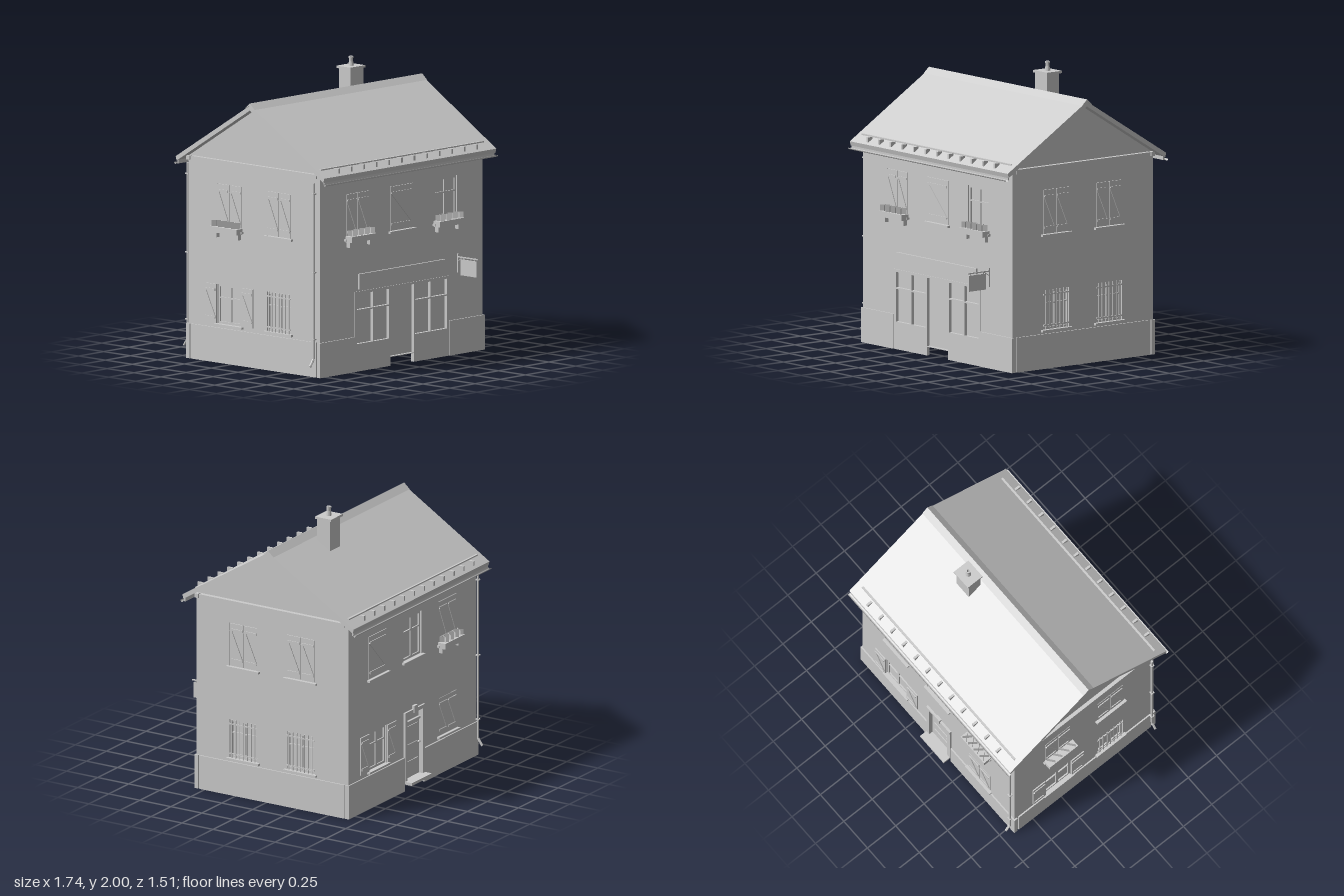
import * as THREE from 'three';

const mat = new THREE.MeshStandardMaterial({ color: 0xcccccc, side: THREE.DoubleSide, flatShading: true });

function add(parent, name, geo) {
  const m = new THREE.Mesh(geo, mat);
  m.name = name;
  parent.add(m);
  return m;
}
// Box given by its extents on each axis
function box(parent, name, x0, x1, y0, y1, z0, z1) {
  const m = add(parent, name, new THREE.BoxGeometry(x1 - x0, y1 - y0, z1 - z0));
  m.position.set((x0 + x1) / 2, (y0 + y1) / 2, (z0 + z1) / 2);
  return m;
}
const polygon = pts => new THREE.Shape(pts.map(p => new THREE.Vector2(...p)));
const rect = (x0, x1, y0, y1) => [[x0, y0], [x0, y1], [x1, y1], [x1, y0]];
const extrude = (shape, depth) => new THREE.ExtrudeGeometry(shape, { depth, bevelEnabled: false });
function group(parent, name) {
  const g = new THREE.Group();
  g.name = name;
  parent.add(g);
  return g;
}
// Thin straight bar between two points
function rod(parent, name, a, b, r) {
  const p = new THREE.Vector3(...a), d = new THREE.Vector3(...b).sub(p);
  const m = add(parent, name, new THREE.CylinderGeometry(r, r, d.length(), 6));
  m.position.copy(p).addScaledVector(d, 0.5);
  m.quaternion.setFromUnitVectors(new THREE.Vector3(0, 1, 0), d.normalize());
}

// Plank shutter with two battens and a diagonal brace
function shutter(parent, x0, x1, y0, y1, z) {
  const g = group(parent, 'shutter'), h = y1 - y0, t = 0.006;
  const a = y0 + h * 0.15, b = y1 - h * 0.15;
  box(g, 'shutterLeaf', x0 + 0.002, x1 - 0.002, y0 + 0.002, y1 - 0.002, z - 0.008, z);
  for (const y of [a, b]) box(g, 'batten', x0 + 0.01, x1 - 0.01, y - 0.008, y + 0.008, z, z + t);
  const dx = x1 - x0 - 0.02, dy = b - a;
  const brace = add(g, 'brace', new THREE.BoxGeometry(Math.hypot(dx, dy), 0.014, t));
  brace.position.set((x0 + x1) / 2, (a + b) / 2, z + t / 2);
  brace.rotation.z = -Math.atan2(dy, dx);
}

// Framed casement with centre mullion and glazing bars
function casement(parent, x0, x1, y0, y1) {
  const c = (x0 + x1) / 2, f = 0.016, y = y0 + (y1 - y0) * 0.66;
  const frame = polygon(rect(x0, x1, y0, y1));
  for (const [a, b] of [[x0 + f, c - f / 2], [c + f / 2, x1 - f]])
    for (const [p, q] of [[y0 + f, y - 0.005], [y + 0.005, y1 - f]])
      frame.holes.push(new THREE.Path(rect(a, b, p, q).map(v => new THREE.Vector2(...v))));
  add(parent, 'windowFrame', extrude(frame, 0.012)).position.z = -0.022;
  box(parent, 'windowPane', x0, x1, y0, y1, -0.026, -0.02);
}

// Hanging flower box with crossed foliage cards and brackets
function flowerBox(parent, c, y) {
  const g = group(parent, 'flowerBox');
  box(g, 'planter', c - 0.125, c + 0.125, y - 0.02, y + 0.02, 0.005, 0.065);
  for (const s of [-1, 1]) box(g, 'bracket', c + s * 0.1 - 0.006, c + s * 0.1 + 0.006, y - 0.06, y - 0.02, 0, 0.03);
  for (let i = 0; i < 4; i++)
    for (const s of [-1, 1]) {
      const card = add(g, 'foliage', new THREE.PlaneGeometry(0.065, 0.062));
      card.position.set(c - 0.09 + i * 0.06, y + 0.03, 0.035);
      card.rotation.y = s * 0.9;
    }
}

// kind: S single shutter, D double shutters, O open shutters, G glass, B barred
function windowUnit(parent, { c, y0, y1, kind, flowers }) {
  const g = group(parent, 'window'), w = 0.113, x0 = c - w, x1 = c + w;
  casement(g, x0, x1, y0, y1);
  if (kind === 'S') shutter(g, x0, x1, y0, y1, 0.002);
  if (kind === 'D') { shutter(g, x0, c, y0, y1, 0.002); shutter(g, c, x1, y0, y1, 0.002); }
  if (kind === 'O') { shutter(g, x0 - w, x0, y0, y1, 0.01); shutter(g, x1, x1 + w, y0, y1, 0.01); }
  if (kind === 'B') {
    for (let i = 0; i < 7; i++) {
      const x = x0 + 0.02 + i * (2 * w - 0.04) / 6;
      rod(g, 'bar', [x, y0, 0.003], [x, y1, 0.003], 0.004);
    }
    for (const y of [y0 + 0.03, y1 - 0.03]) box(g, 'crossBar', x0, x1, y - 0.005, y + 0.005, 0, 0.006);
  }
  box(g, 'sill', x0 - 0.018, x1 + 0.018, y0 - 0.015, y0, -0.02, 0.022);
  if (flowers) flowerBox(g, c, 0.925);
}

// One facade: wall with window holes and an optional doorway notch, plus plinth
function facade(parent, name, u0, u1, windows, notch, grow) {
  const g = group(parent, name);
  const base = notch ? [[u0, 0], [notch[0], 0], [notch[0], notch[2]], [notch[1], notch[2]], [notch[1], 0], [u1, 0]] : [[u0, 0], [u1, 0]];
  const shape = polygon([...base, [u1, 1.39], [u0, 1.39]]);
  for (const { c, y0, y1 } of windows)
    shape.holes.push(new THREE.Path(rect(c - 0.113, c + 0.113, y0, y1).map(v => new THREE.Vector2(...v))));
  add(g, 'wall', extrude(shape, 0.03)).position.z = -0.03;
  const spans = notch ? [[u0 - grow, notch[0]], [notch[1], u1 + grow]] : [[u0 - grow, u1 + grow]];
  for (const [a, b] of spans) box(g, 'plinth', a, b, 0, 0.24, -0.02, 0.01);
  box(g, 'cornice', u0 - grow, u1 + grow, 1.365, 1.395, -0.02, 0.01);
  for (const w of windows) windowUnit(g, w);
  return g;
}

function shopFront(g) {
  const shop = group(g, 'shopFront');
  const frame = polygon(rect(-0.46, 0.48, 0.06, 0.55));
  const holes = [[-0.1, 0.13, 0.065, 0.535]];
  for (const [a, b] of [[-0.435, -0.277], [-0.268, -0.115], [0.14, 0.298], [0.307, 0.46]])
    holes.push([a, b, 0.19, 0.415], [a, b, 0.425, 0.532]);
  for (const h of holes) frame.holes.push(new THREE.Path(rect(...h).map(v => new THREE.Vector2(...v))));
  add(shop, 'shopFrame', extrude(frame, 0.025)).position.z = -0.02;
  box(shop, 'shopGlazing', -0.46, 0.48, 0.06, 0.55, -0.028, -0.018);
  for (const [a, b] of [[-0.46, -0.1], [0.13, 0.48]]) box(shop, 'shopPlinth', a, b, 0, 0.06, -0.02, 0.005);
  box(shop, 'fasciaBoard', -0.42, 0.445, 0.565, 0.67, 0, 0.015);
  // Hanging sign on a wall bracket
  const sign = group(g, 'hangingSign');
  box(sign, 'signPanel', 0.568, 0.574, 0.545, 0.655, 0.03, 0.18);
  box(sign, 'signArm', 0.567, 0.575, 0.665, 0.673, 0, 0.19);
  box(sign, 'signMount', 0.565, 0.577, 0.56, 0.69, 0, 0.007);
  rod(sign, 'signBrace', [0.571, 0.64, 0.005], [0.571, 0.668, 0.05], 0.003);
  for (const z of [0.05, 0.16]) box(sign, 'signHanger', 0.569, 0.573, 0.65, 0.67, z, z + 0.005);
}

function backDoor(g) {
  const d = group(g, 'backDoor');
  box(d, 'doorLeaf', -0.1, 0.1, 0.06, 0.47, -0.028, -0.016);
  box(d, 'transomPane', -0.1, 0.1, 0.47, 0.54, -0.028, -0.02);
  for (const y of [0.1, 0.22, 0.35]) box(d, 'doorPanel', -0.07, 0.07, y, y + 0.09, -0.016, -0.01);
  for (const s of [-1, 1]) box(d, 'doorJamb', s * 0.11 - 0.015, s * 0.11 + 0.015, 0.06, 0.55, -0.03, 0.014);
  box(d, 'doorHead', -0.125, 0.125, 0.535, 0.56, -0.03, 0.016);
  box(d, 'keystone', -0.022, 0.022, 0.535, 0.585, 0, 0.022);
  box(d, 'transomRail', -0.1, 0.1, 0.462, 0.478, -0.025, -0.004);
  rod(d, 'doorHandle', [0.075, 0.3, -0.016], [0.075, 0.3, 0.004], 0.008);
  box(d, 'doorStep', -0.125, 0.125, 0.05, 0.07, -0.03, 0.068);
}

// Downpipe with a kicked-out shoe and wall clips
function downpipe(parent, x, z, kx, kz) {
  const g = group(parent, 'downpipe');
  const pts = [[x, 1.34, z], [x, 0.13, z], [x + kx, 0.08, z + kz]];
  rod(g, 'pipe', pts[0], pts[1], 0.009);
  rod(g, 'pipeShoe', pts[1], pts[2], 0.009);
  for (const y of [1.26, 0.72, 0.26]) box(g, 'pipeClip', x - 0.013, x + 0.013, y, y + 0.008, z - 0.013, z + 0.013);
}

function roof(parent) {
  const g = group(parent, 'roof');
  // Profiles are drawn in (-z, y) and swept along x
  const sweep = (name, pts, x, len) =>
    add(g, name, extrude(polygon(pts), len).rotateY(Math.PI / 2)).position.x = x;
  sweep('roofSlopes', [[-0.65, 1.385], [0.04, 1.81], [0.73, 1.385], [0.722, 1.355], [0.04, 1.776], [-0.642, 1.355]], -0.84, 1.71);
  sweep('ridgeCap', [[-0.005, 1.785], [0.04, 1.825], [0.085, 1.785], [0.04, 1.81]], -0.842, 1.714);
  for (const x of [-0.78, 0.77])
    sweep('gable', [[-0.57, 1.36], [0.655, 1.36], [0.655, 1.402], [0.04, 1.782], [-0.57, 1.402]], x, 0.03);
  // Gutters and snow guards on both slopes
  for (const s of [-1, 1]) {
    const at = d => -0.04 + s * d;
    const slab = (name, x0, x1, y0, y1, d0, d1) =>
      box(g, name, x0, x1, y0, y1, Math.min(at(d0), at(d1)), Math.max(at(d0), at(d1)));
    const gutter = add(g, 'gutter', new THREE.CylinderGeometry(0.012, 0.012, 1.71, 10, 1, true, 0, Math.PI));
    gutter.rotation.set(0, 0, -Math.PI / 2);
    gutter.geometry.rotateY(Math.PI / 2 - Math.PI / 2);
    gutter.geometry.rotateY(Math.PI / 2 - Math.PI / 2 - Math.PI / 2 + Math.PI);
    gutter.geometry.rotateY(-Math.PI / 2);
    gutter.position.set(0.015, 1.343, at(0.695));
    slab('eavesBoard', -0.83, 0.86, 1.335, 1.375, 0.672, 0.682);
    slab('snowRail', -0.8, 0.82, 1.418, 1.436, 0.598, 0.622);
    for (const x of [-0.815, 0.835]) slab('snowRailEnd', x - 0.015, x + 0.015, 1.425, 1.437, 0.594, 0.604);
    for (let i = 0; i < 12; i++) {
      const x = -0.672 + i * 0.1248;
      slab('snowHook', x - 0.008, x + 0.008, 1.398, 1.432, 0.633, 0.672);
    }
  }
}

function chimney(parent) {
  const g = group(parent, 'chimney');
  box(g, 'chimneyStack', 0.227, 0.357, 1.66, 1.925, -0.21, -0.105);
  box(g, 'chimneyCap', 0.218, 0.368, 1.92, 1.936, -0.226, -0.096);
  const pot = [[0.02, 1.936], [0.014, 1.97], [0.014, 1.988], [0.017, 1.988], [0.017, 2], [0.01, 2], [0.01, 1.94]];
  add(g, 'chimneyPot', new THREE.LatheGeometry(pot.map(p => new THREE.Vector2(...p)), 12)).position.set(0.293, 0, -0.16);
}

export function createModel() {
  const house = new THREE.Group();
  house.name = 'house';
  const up = (c, kind, flowers) => ({ c, kind, flowers, y0: 0.925, y1: 1.232 });
  const low = (c, kind) => ({ c, kind, y0: 0.268, y1: 0.54 });

  const front = facade(house, 'frontFacade', -0.795, 0.82,
    [up(-0.425, 'D', true), up(0.014, 'S'), up(0.453, 'G', true)], [-0.46, 0.48, 0.55], 0.01);
  front.position.z = 0.57;
  shopFront(front);

  const back = facade(house, 'backFacade', -0.82, 0.795,
    [up(-0.453, 'S'), up(-0.014, 'G'), up(0.425, 'D', true), low(-0.453, 'O'), low(0.425, 'D')], [-0.125, 0.125, 0.56], 0.01);
  back.position.z = -0.655;
  back.rotation.y = Math.PI;
  backDoor(back);

  const leftSide = facade(house, 'leftFacade', -0.54, 0.625,
    [up(-0.188, 'D'), up(0.272, 'D'), low(-0.188, 'B'), low(0.272, 'B')], null, 0);
  leftSide.position.x = 0.82;
  leftSide.rotation.y = Math.PI / 2;

  const rightSide = facade(house, 'rightFacade', -0.625, 0.54,
    [up(-0.272, 'D', true), up(0.188, 'D'), low(-0.272, 'O'), low(0.188, 'B')], null, 0);
  rightSide.position.x = -0.795;
  rightSide.rotation.y = -Math.PI / 2;

  roof(house);
  chimney(house);
  downpipe(house, -0.822, 0.535, -0.035, 0);
  downpipe(house, -0.775, -0.678, 0, -0.035);
  return house;
}
